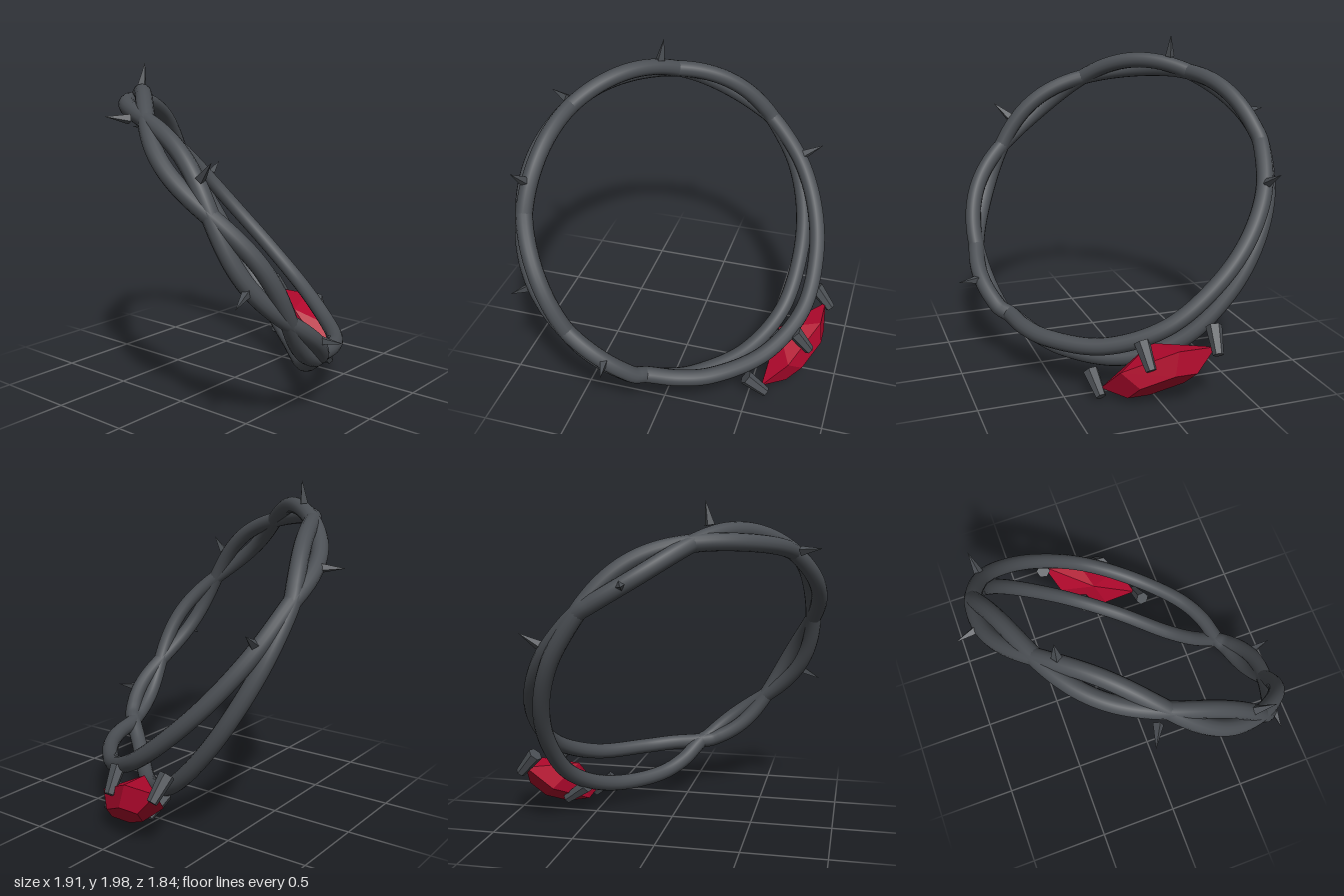
import * as THREE from 'three';

export function createModel() {
  const model = new THREE.Group();
  const iron = new THREE.MeshStandardMaterial({ color: 0x4b4f54 });
  iron.name = 'dark iron';
  const ruby = new THREE.MeshStandardMaterial({ color: 0xb0082c });
  ruby.name = 'ruby red';

  // Tilted frame: local y is the ring's axis, local z points at the gem
  const ring = new THREE.Group();
  ring.name = 'ring';
  const tangent = new THREE.Vector3(-2, 1, -1).normalize();
  const axis = new THREE.Vector3(1, 1, -1).normalize();
  const toGem = new THREE.Vector3(0, -1, -1).normalize();
  ring.quaternion.setFromRotationMatrix(new THREE.Matrix4().makeBasis(tangent, axis, toGem));
  ring.position.set(0, 1.003, 0.048);
  model.add(ring);

  const polar = (deg, r, h) => {
    const a = THREE.MathUtils.degToRad(deg);
    return new THREE.Vector3(r * Math.sin(a), h, r * Math.cos(a));
  };
  const add = (name, geometry, material, parent = ring) => {
    const mesh = new THREE.Mesh(geometry, material);
    mesh.name = name;
    parent.add(mesh);
    return mesh;
  };
  const faceted = (geometry) => {
    const flat = geometry.toNonIndexed();
    flat.computeVertexNormals();
    return flat;
  };
  // Places a part that runs along y from one point to another
  const span = (mesh, from, to) => {
    mesh.position.copy(from).lerp(to, 0.5);
    mesh.quaternion.setFromUnitVectors(new THREE.Vector3(0, 1, 0), to.clone().sub(from).normalize());
  };

  // Wide opening at the gem: angle, radius, distance of each strand from the ring's plane
  const opening = [
    [-61, 0.95, 0], [-50, 0.945, 0.08], [-38, 0.945, 0.125], [-15, 0.955, 0.14],
    [8, 0.955, 0.135], [30, 0.93, 0.107], [50, 0.932, 0.072], [70, 0.95, 0.037],
  ];
  // Twisted remainder: the strands cross at these angles
  const crossings = [90, 133.5, 179, 222, 265.5, 299];
  const spreads = [0.057, 0.057, 0.057, 0.057, 0.045];
  for (const side of [1, -1]) {
    const points = opening.map(([angle, radius, h]) => polar(angle, radius, side * h));
    spreads.forEach((spread, i) => {
      const sign = i % 2 ? side : -side;
      for (let k = 0; k < 8; k++) {
        const angle = THREE.MathUtils.lerp(crossings[i], crossings[i + 1], k / 8);
        points.push(polar(angle, 0.97, sign * spread * Math.sin((Math.PI * k) / 8)));
      }
    });
    const path = new THREE.CatmullRomCurve3(points, true);
    add(side > 0 ? 'upperStrand' : 'lowerStrand', new THREE.TubeGeometry(path, 240, 0.05, 14, true), iron);
  }

  // Thorns leaning alternately to either side
  const thorns = new THREE.Group();
  thorns.name = 'thorns';
  ring.add(thorns);
  const thornShape = faceted(new THREE.ConeGeometry(0.03, 0.14, 4));
  for (let i = 0; i < 7; i++) {
    const angle = 71.5 + 35 * i;
    const lean = i % 2 ? -1 : 1;
    const reach = 1.085 - 0.03 * Math.cos(THREE.MathUtils.degToRad(angle));
    span(
      add('thorn', thornShape, iron, thorns),
      polar(angle, reach - 0.1, 0.07 * lean),
      polar(angle, reach, 0.165 * lean)
    );
  }

  // Long faceted gem
  const profile = [[0, -0.15], [1, 0], [0.6, 0.11], [0, 0.11]].map(([x, y]) => new THREE.Vector2(x, y));
  const gemShape = new THREE.LatheGeometry(profile, 6);
  gemShape.rotateY(Math.PI / 2).rotateX(Math.PI / 2).scale(0.355, 0.155, 1);
  add('gem', faceted(gemShape), ruby).position.set(-0.015, 0, 1.1);

  // Four stout tapered prongs around the gem
  const prongShape = faceted(new THREE.CylinderGeometry(0.031, 0.047, 0.17, 6));
  for (const [x, y] of [[1, 0], [-1, 0], [0, 1], [0, -1]]) {
    span(
      add('prong', prongShape, iron),
      new THREE.Vector3(x * 0.385 - 0.02, y * 0.165, 0.98),
      new THREE.Vector3(x * 0.36 - 0.02, y * 0.135, 1.15)
    );
  }
  return model;
}
